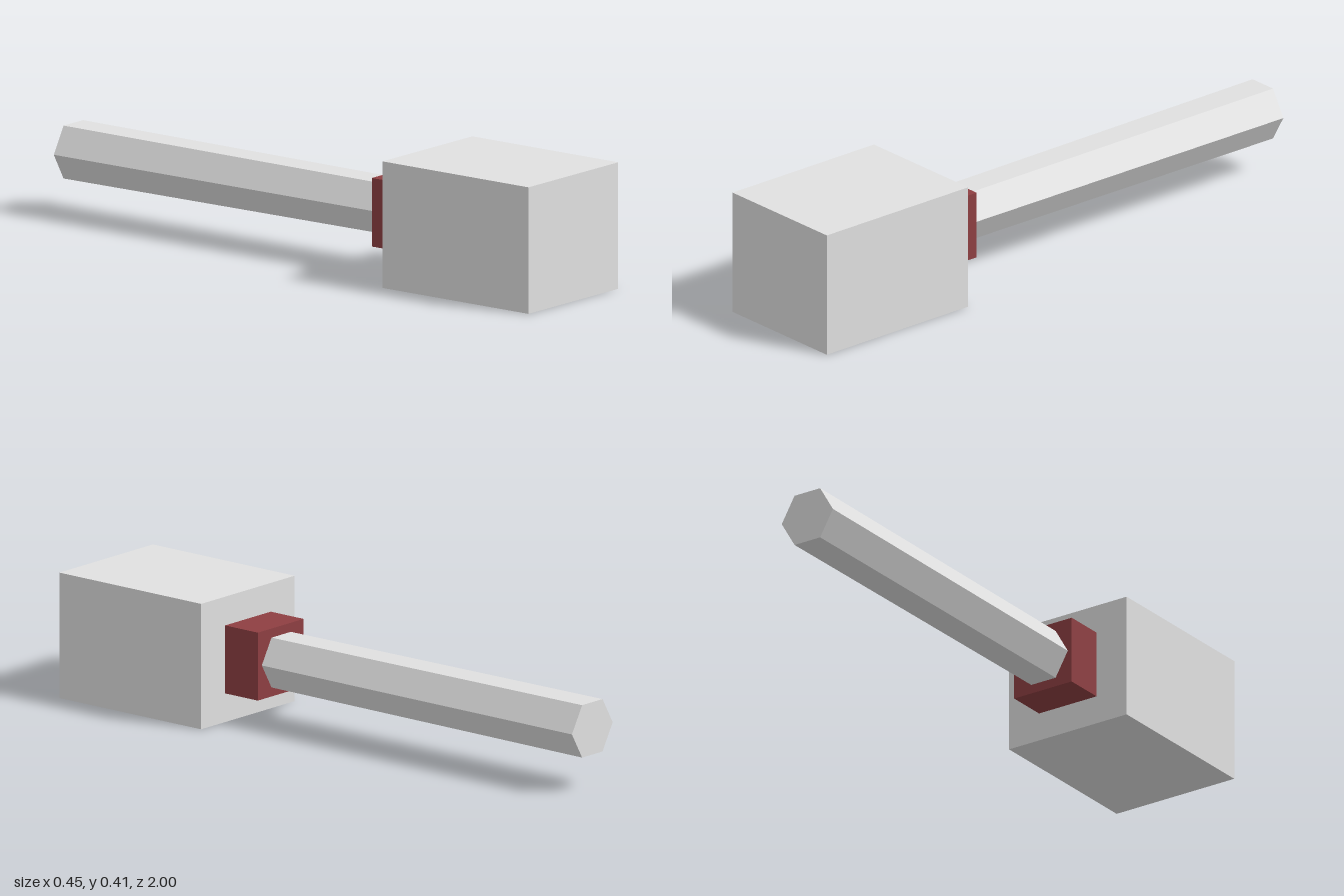
import * as THREE from 'three';

export function createModel() {
  const model = new THREE.Group();
  const lightGrey = new THREE.MeshStandardMaterial({ name: 'lightGrey', color: 0xe0e0e0 });
  const darkRed = new THREE.MeshStandardMaterial({ name: 'darkRed', color: 0x8e3f42 });
  const axisY = 0.203;

  const add = (name, geometry, material, x, z) => {
    const mesh = new THREE.Mesh(geometry, material);
    mesh.name = name;
    mesh.position.set(x, axisY, z);
    model.add(mesh);
  };

  // Block head at the front
  add('head', new THREE.BoxGeometry(0.45, 0.406, 0.584), lightGrey, 0, 0.708);

  // Square collar joining head and handle
  add('collar', new THREE.BoxGeometry(0.22, 0.22, 0.138), darkRed, 0, 0.35);

  // Six-sided handle, slightly wider at the back, corners to left and right
  const handle = new THREE.CylinderGeometry(0.093, 0.098, 1.3, 6).toNonIndexed();
  handle.rotateY(Math.PI / 6);
  handle.rotateX(Math.PI / 2);
  handle.computeVertexNormals(); // flat facets
  add('handle', handle, lightGrey, -0.002, -0.35);

  return model;
}
